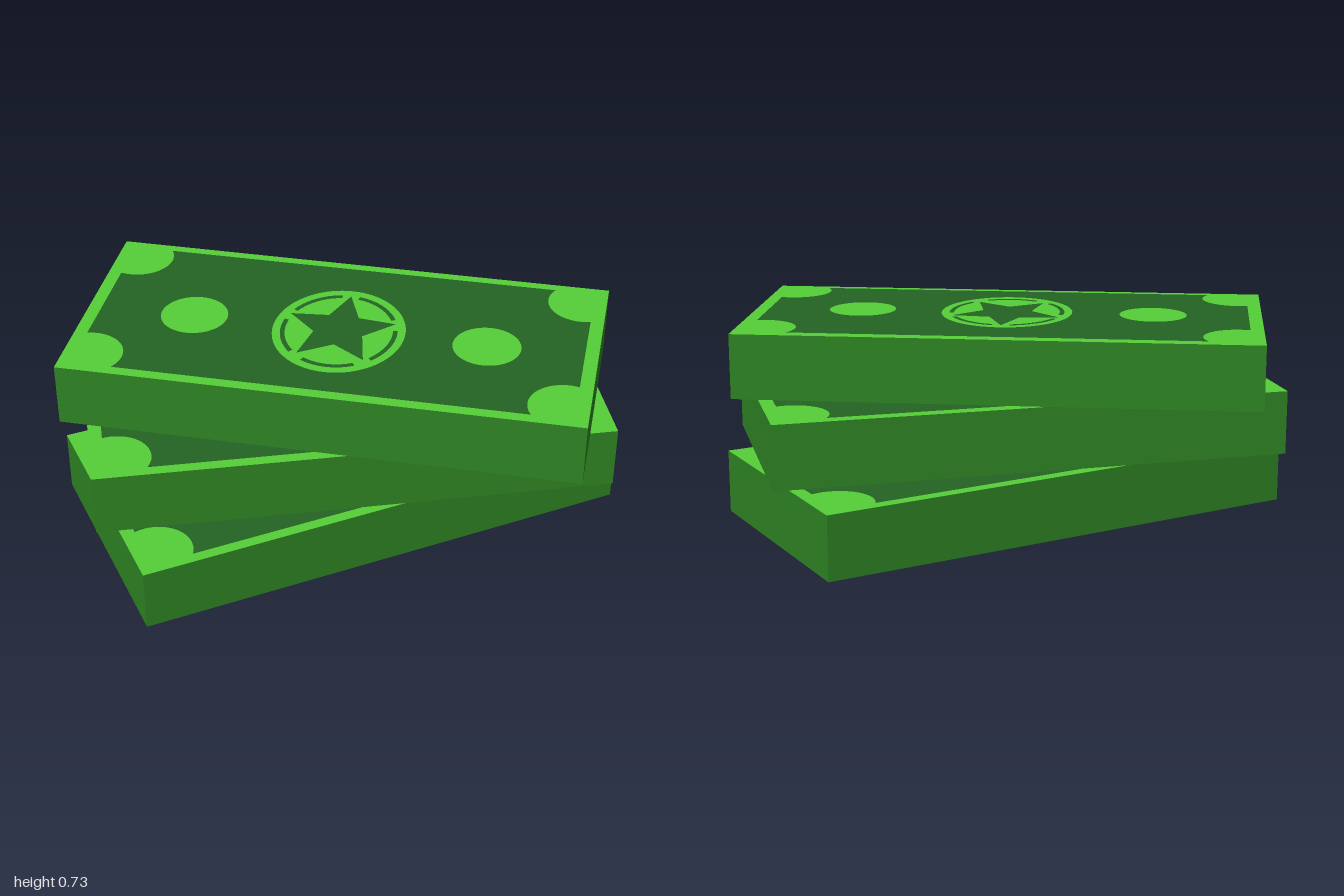
import * as THREE from 'three';

const LENGTH = 1.825, WIDTH = 0.87, HEIGHT = 0.233, PRINT = 0.002;

const mat = (name, color) => {
  const m = new THREE.MeshStandardMaterial({ color });
  m.name = name;
  return m;
};

// Closed ellipse outline
function ellipse(x, y, rx, ry) {
  const p = new THREE.Path();
  p.absellipse(x, y, rx, ry, 0, Math.PI * 2, false);
  return p;
}

// Rectangle with a round bite out of each corner, and three openings
function panelShape() {
  const hx = 0.865, hy = 0.397, cx = 0.83, cy = 0.33, r = 0.128;
  const a0 = Math.atan2(-Math.sqrt(r * r - (hx - cx) ** 2), hx - cx);
  const a1 = Math.atan2(hy - cy, -Math.sqrt(r * r - (hy - cy) ** 2)) - Math.PI * 2;
  const arc = [];
  for (let i = 0; i <= 14; i++) {
    const a = a0 + (a1 - a0) * i / 14;
    arc.push(new THREE.Vector2(cx + r * Math.cos(a), cy + r * Math.sin(a)));
  }
  const corner = (sx, sy) => {
    const pts = arc.map(p => new THREE.Vector2(p.x * sx, p.y * sy));
    return sx * sy > 0 ? pts : pts.reverse();
  };
  const shape = new THREE.Shape([
    ...corner(1, 1), ...corner(-1, 1), ...corner(-1, -1), ...corner(1, -1)]);
  shape.holes.push(
    ellipse(-0.525, -0.02, 0.12, 0.12),
    ellipse(0.525, -0.02, 0.12, 0.12),
    ellipse(0, -0.02, 0.235, 0.266));
  return shape;
}

function starShape() {
  const pts = [];
  for (let i = 0; i < 10; i++) {
    const a = Math.PI / 2 + i * Math.PI / 5, k = i % 2 ? 0.46 : 1;
    pts.push(new THREE.Vector2(0.2 * k * Math.cos(a), -0.01 + 0.22 * k * Math.sin(a)));
  }
  return new THREE.Shape(pts);
}

// Thin curved dash between two star tips
function dashShape(i) {
  const mid = Math.PI / 2 + (i + 0.5) * Math.PI * 0.4, outer = [], inner = [];
  for (let j = 0; j <= 10; j++) {
    const a = mid + (j / 10 - 0.5) * 0.95;
    const at = k => new THREE.Vector2(0.235 * k * Math.cos(a), -0.02 + 0.266 * k * Math.sin(a));
    outer.push(at(0.88));
    inner.unshift(at(0.81));
  }
  return new THREE.Shape([...outer, ...inner]);
}

export function createModel() {
  const paper = mat('light green paper', 0x55cf37);
  const ink = mat('dark green ink', 0x236323);
  const edge = mat('green paper edge', 0x2e8323);

  const block = new THREE.BoxGeometry(LENGTH, HEIGHT - 2 * PRINT, WIDTH);
  const prints = {
    borderPanel: new THREE.ShapeGeometry(panelShape(), 40),
    star: new THREE.ShapeGeometry(starShape()),
    ringDashes: new THREE.ShapeGeometry([0, 1, 2, 3, 4].map(dashShape)),
  };

  // One bundle: paper block with a printed face above and below
  function bundle(name, y, turn) {
    const g = new THREE.Group();
    g.name = name;
    const body = new THREE.Mesh(block, [edge, edge, paper, paper, edge, edge]);
    body.name = 'paperBlock';
    g.add(body);
    for (const side of [1, -1]) {
      const face = new THREE.Group();
      face.name = side > 0 ? 'topPrint' : 'bottomPrint';
      for (const [part, geo] of Object.entries(prints)) {
        const m = new THREE.Mesh(geo, ink);
        m.name = part;
        face.add(m);
      }
      face.rotation.set(-side * Math.PI / 2, 0, side > 0 ? 0 : Math.PI);
      face.position.y = side * HEIGHT / 2;
      g.add(face);
    }
    g.position.y = y + HEIGHT / 2;
    g.rotation.y = -THREE.MathUtils.degToRad(turn);
    return g;
  }

  const model = new THREE.Group();
  model.name = 'banknoteBundles';
  model.add(
    bundle('bottomBundle', 0, 0),
    bundle('middleBundle', 0.254, 15),
    bundle('topBundle', 0.493, 35));
  return model;
}
